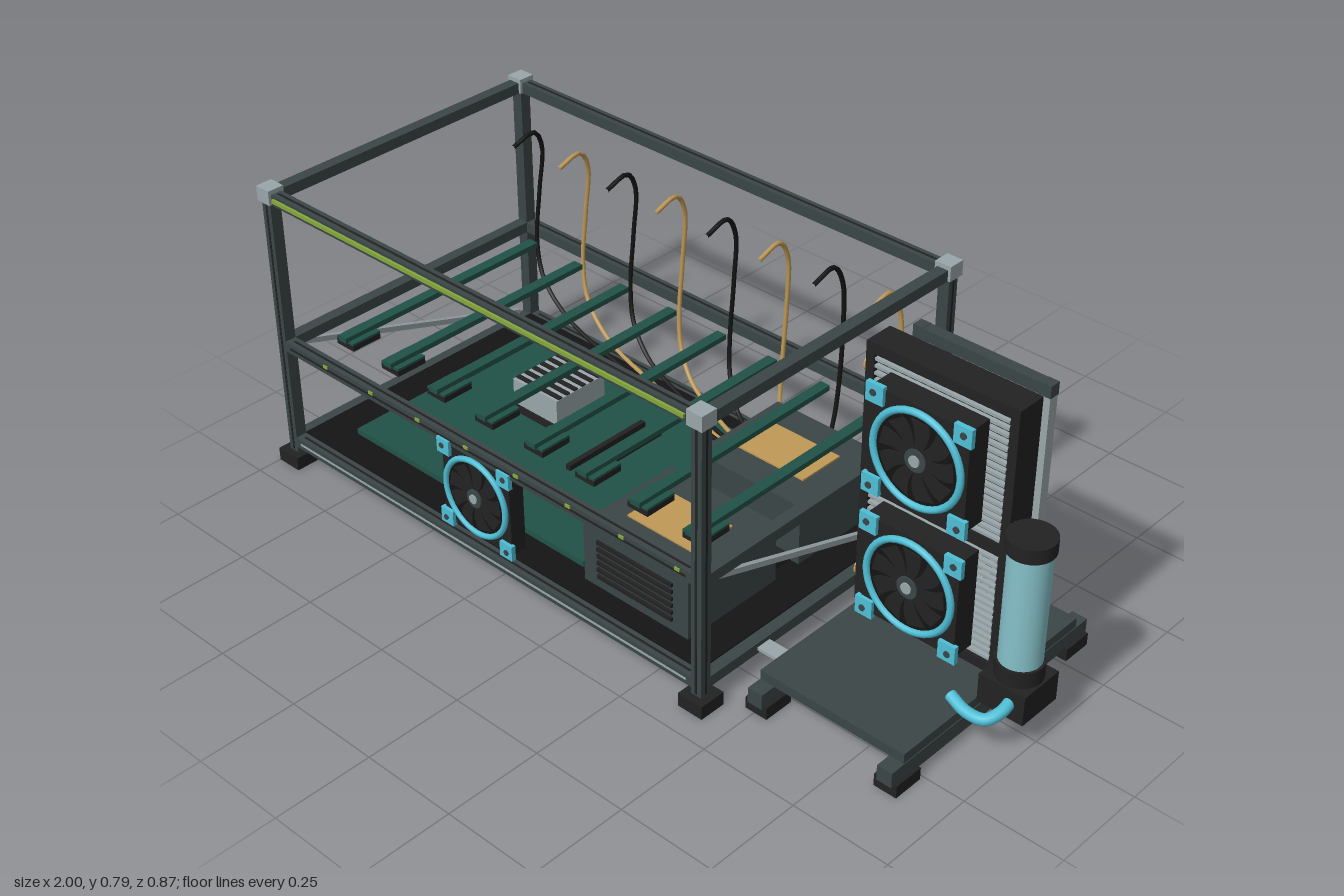
import * as THREE from 'three';

const mat = (name, color, side = THREE.FrontSide) => {
  const m = new THREE.MeshStandardMaterial({ color, side });
  m.name = name;
  return m;
};

export function createModel() {
  const M = {
    frame: mat('frameGrey', 0x3b4646),
    black: mat('black', 0x222222),
    floor: mat('floorBlack', 0x141414),
    silver: mat('silver', 0x9aa6aa),
    green: mat('boardGreen', 0x215247),
    cyan: mat('cyan', 0x4fbfd6),
    glass: mat('coolant', 0x86c1c9),
    gold: mat('gold', 0xc09a56),
    led: mat('ledGreen', 0x86a83c),
  };
  const root = new THREE.Group();
  root.name = 'openComputerRig';

  const add = (name, geo, material, x = 0, y = 0, z = 0, parent = root) => {
    const mesh = new THREE.Mesh(geo, material);
    mesh.name = name;
    mesh.position.set(x, y, z);
    parent.add(mesh);
    return mesh;
  };
  // Box given by its minimum and maximum on each axis
  const span = (name, m, x0, x1, y0, y1, z0, z1, parent = root) =>
    add(name, new THREE.BoxGeometry(x1 - x0, y1 - y0, z1 - z0), m,
      (x0 + x1) / 2, (y0 + y1) / 2, (z0 + z1) / 2, parent);
  const box = (name, m, x, y, z, w, h, d, parent = root) =>
    add(name, new THREE.BoxGeometry(w, h, d), m, x, y, z, parent);
  const group = (name, parent = root) => {
    const g = new THREE.Group();
    g.name = name;
    parent.add(g);
    return g;
  };
  const tube = (name, m, pts, r, seg, sides = 8, parent = root) =>
    add(name, new THREE.TubeGeometry(
      new THREE.CatmullRomCurve3(pts.map((p) => new THREE.Vector3(...p))), seg, r, sides), m, 0, 0, 0, parent);

  // Slotted frame: posts, rails, feet and corner joints
  const XL = -0.965, XR = 0.398, ZF = 0.4, T = 0.03, XC = (XL + XR) / 2, W = XR - XL;
  const frame = group('frame');
  for (const x of [XL, XR]) {
    for (const z of [-ZF, ZF]) {
      const s = Math.sign(z);
      box('post', M.frame, x, 0.39, z, T, 0.72, T, frame);
      box('postGroove', M.black, x, 0.39, z + s * T / 2, 0.006, 0.7, 0.002, frame);
      box('postGroove', M.black, x + Math.sign(x) * T / 2, 0.39, z, 0.002, 0.7, 0.006, frame);
      box('foot', M.black, x, 0.0175, z, 0.07, 0.035, 0.07, frame);
      box('cornerJoint', M.silver, x, 0.754, z, 0.044, 0.038, 0.044, frame);
    }
    // Sloping brace on each end
    const brace = box('endBrace', M.silver, x, 0.213, 0.003, 0.012, 0.014, 0.755, frame);
    brace.rotation.x = -Math.atan2(0.235, 0.715);
  }
  for (const y of [0.065, 0.345, 0.748]) {
    for (const z of [-ZF, ZF]) {
      box('longRail', M.frame, XC, y, z, W - T, 0.028, T, frame);
      box('railGroove', y < 0.1 ? M.silver : M.black, XC, y, z + Math.sign(z) * T / 2, W - 0.06, 0.006, 0.002, frame);
      box('railGroove', M.black, XC, y + 0.014, z, W - 0.06, 0.002, 0.006, frame);
    }
    for (const x of [XL, XR]) {
      box('endRail', M.frame, x, y, 0, T, 0.028, 2 * ZF - T, frame);
    }
  }
  box('lightStrip', M.led, XC, 0.75, ZF + 0.018, W - 0.06, 0.01, 0.006, frame);
  span('floorPanel', M.floor, XL + 0.015, XR - 0.015, 0.07, 0.082, -0.385, 0.385, frame);

  // Mainboard with cooler and slots
  const board = group('mainboard');
  span('circuitBoard', M.green, -0.84, -0.05, 0.09, 0.105, -0.32, 0.31, board);
  span('coolerBase', M.black, -0.635, -0.455, 0.105, 0.125, -0.185, -0.01, board);
  span('cooler', M.silver, -0.62, -0.467, 0.125, 0.195, -0.18, -0.015, board);
  for (let i = 0; i < 6; i++)
    box('coolerFin', M.black, -0.543, 0.196, -0.165 + i * 0.027, 0.15, 0.005, 0.013, board);
  for (const x of [-0.333, -0.278])
    box('slot', M.black, x, 0.112, -0.05, 0.014, 0.016, 0.26, board);

  // Two power supplies with front vents and top plates
  for (const z of [-0.185, 0.185]) {
    const psu = group('powerSupply');
    box('psuCase', M.frame, 0.135, 0.163, z, 0.32, 0.162, 0.29, psu);
    box('psuPlate', M.gold, 0.135, 0.246, z, 0.2, 0.005, 0.13, psu);
    for (let i = 0; i < 6; i++)
      box('ventSlat', M.black, 0.135, 0.115 + i * 0.019, z + Math.sign(z) * 0.147, 0.23, 0.01, 0.008, psu);
  }
  span('psuSpacer', M.black, 0, 0.27, 0.082, 0.1, -0.04, 0.04);

  // Eight riser cards, each with its cable
  for (let i = 0; i < 8; i++) {
    const x = -0.856 + i * 0.1637;
    const riser = group('riser');
    span('riserBar', M.green, x - 0.014, x + 0.014, 0.354, 0.368, -0.32, 0.318, riser);
    span('riserPad', M.green, x - 0.03, x + 0.03, 0.35, 0.356, 0.225, 0.31, riser);
    span('riserSocket', M.black, x - 0.03, x + 0.03, 0.335, 0.35, 0.225, 0.31, riser);
    box('statusLight', M.led, x + 0.055, 0.352, 0.416, 0.015, 0.008, 0.004, riser);
    const xe = 0.13, dx = xe - x, out = -dx * 0.035 - Math.sign(dx) * (Math.abs(dx) > 0.05 ? 0.006 : 0);
    tube('cable', i % 2 ? M.gold : M.floor, [
      [x, 0.657, -0.265], [x, 0.674, -0.335], [x + out * 0.2, 0.62, -0.37],
      [x + out * 0.8, 0.48, -0.378], [x + out, 0.33, -0.37],
      [x + out * 0.6 + dx * 0.02, 0.24, -0.355], [x + dx * 0.11, 0.175, -0.33],
      [x + dx * 0.35, 0.145, -0.29], [xe, 0.135, -0.18],
    ], 0.006, 60, 6, riser);
  }

  // Fan facing +z: black case, cyan ring, corner pads, blades and hub
  const fan = (x, y, z, s, d) => {
    const g = group('fan');
    g.position.set(x, y, z);
    const r = s * 0.42;
    box('fanCase', M.black, 0, 0, -d / 2, s * 0.94, s * 0.94, d, g);
    const plate = add('fanBackdrop', new THREE.CylinderGeometry(r, r, 0.004, 40), M.floor, 0, 0, 0.001, g);
    plate.rotation.x = Math.PI / 2;
    add('fanRing', new THREE.TorusGeometry(r, s * 0.032, 8, 40), M.cyan, 0, 0, 0.004, g);
    for (const a of [-1, 1]) for (const b of [-1, 1]) {
      box('cornerPad', M.cyan, a * s * 0.42, b * s * 0.42, 0.003, s * 0.17, s * 0.17, 0.012, g);
      const screw = add('screw', new THREE.CylinderGeometry(s * 0.03, s * 0.03, 0.004, 10), M.frame,
        a * s * 0.43, b * s * 0.43, 0.01, g);
      screw.rotation.x = Math.PI / 2;
    }
    const blade = new THREE.Shape();
    blade.moveTo(s * 0.08, -s * 0.02);
    blade.quadraticCurveTo(s * 0.25, -s * 0.1, s * 0.36, -s * 0.04);
    blade.lineTo(s * 0.34, s * 0.13);
    blade.quadraticCurveTo(s * 0.2, s * 0.03, s * 0.08, s * 0.05);
    const bladeGeo = new THREE.ExtrudeGeometry(blade, { depth: 0.003, bevelEnabled: false });
    for (let i = 0; i < 9; i++)
      add('blade', bladeGeo, M.black, 0, 0, 0.003, g).rotation.z = (i * Math.PI * 2) / 9;
    for (const [name, m, k, zz] of [['hub', M.frame, 0.1, 0.006], ['hubCap', M.silver, 0.05, 0.01]])
      add(name, new THREE.CylinderGeometry(s * k, s * k, 0.008, 24), m, 0, 0, zz, g).rotation.x = Math.PI / 2;
  };
  fan(-0.285, 0.225, 0.413, 0.235, 0.042);
  fan(0.685, 0.613, 0.06, 0.27, 0.062);
  fan(0.685, 0.285, 0.06, 0.27, 0.062);

  // Radiator stand
  const stand = group('radiatorStand');
  span('basePlate', M.frame, 0.485, 0.88, 0.065, 0.09, -0.305, 0.305, stand);
  for (const x of [0.505, 0.862]) {
    box('baseRail', M.frame, x, 0.045, 0, 0.04, 0.04, 0.69, stand);
    for (const z of [-0.3, 0.3]) box('standFoot', M.black, x, 0.016, z, 0.06, 0.032, 0.08, stand);
  }
  for (const z of [-0.213, 0.213]) box('linkArm', M.silver, 0.48, 0.064, z, 0.36, 0.008, 0.04, stand);
  for (const x of [0.535, 0.862]) {
    box('upright', M.silver, x, 0.425, -0.13, 0.024, 0.67, 0.026, stand);
    box('uprightCap', M.frame, x, 0.775, -0.13, 0.026, 0.03, 0.028, stand);
  }
  for (const y of [0.43, 0.775]) box('crossBar', M.frame, 0.6985, y, -0.13, 0.34, 0.028, 0.028, stand);

  // Radiator: black frame around a core with fins front and back
  const rad = group('radiator');
  span('core', M.black, 0.51, 0.86, 0.11, 0.78, -0.076, -0.018, rad);
  for (const x of [0.497, 0.868]) box('sideTank', M.black, x, 0.447, -0.046, 0.022, 0.675, 0.076, rad);
  for (const y of [0.115, 0.43, 0.772]) box('radiatorBand', M.black, 0.683, y, -0.046, 0.37, 0.026, 0.076, rad);
  for (let i = 0; i < 36; i++) {
    const y = 0.14 + i * 0.0174;
    if (Math.abs(y - 0.43) < 0.02) continue;
    for (const z of [-0.08, -0.014]) box('fin', M.silver, 0.683, y, z, 0.345, 0.007, 0.014, rad);
  }
  for (const y of [0.16, 0.7]) {
    const fit = add('fitting', new THREE.CylinderGeometry(0.018, 0.018, 0.03, 16), M.gold, 0.476, y, -0.05, rad);
    fit.rotation.z = Math.PI / 2;
  }

  // Reservoir, pump and coolant hose
  const res = group('reservoir');
  const cyl = (name, m, r, y0, y1) =>
    add(name, new THREE.CylinderGeometry(r, r, y1 - y0, 32), m, 0.94, (y0 + y1) / 2, 0, res);
  cyl('coolantTank', M.glass, 0.049, 0.195, 0.485);
  cyl('topCap', M.black, 0.055, 0.482, 0.518);
  cyl('bottomCap', M.black, 0.055, 0.157, 0.198);
  box('pump', M.black, 0.94, 0.119, 0, 0.12, 0.076, 0.12, res);
  tube('hose', M.cyan, [
    [0.96, 0.122, 0.05], [0.962, 0.115, 0.085], [0.945, 0.104, 0.118],
    [0.9, 0.104, 0.125], [0.85, 0.115, 0.115],
  ], 0.014, 32, 12, res);

  return root;
}
